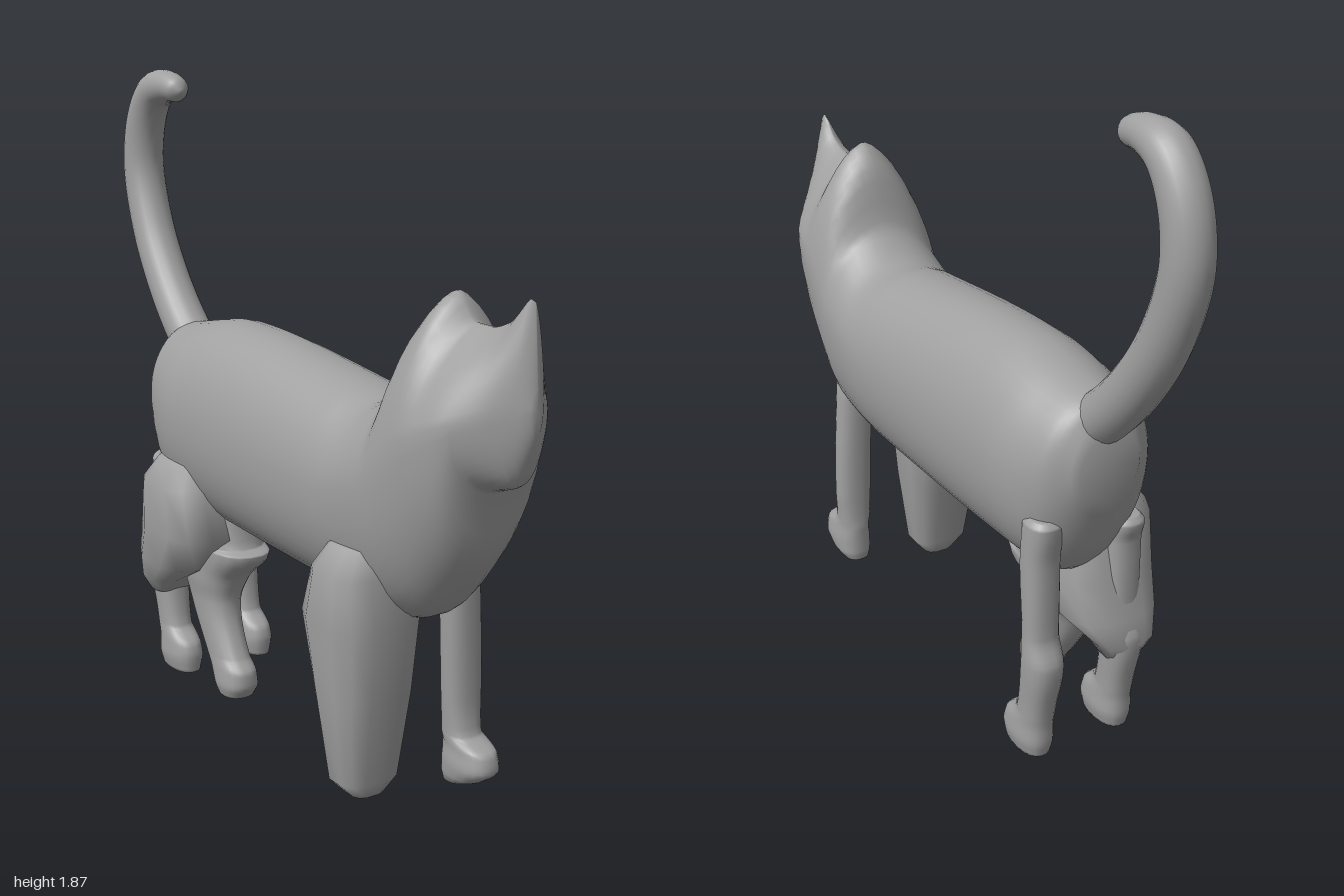
import * as THREE from 'three';

const CX = 0.018; // the body sits slightly off centre

// Skin closed rings; each ring runs counter-clockwise about the direction of travel
function skin(rings) {
  const n = rings[0].length, pos = [], idx = [];
  rings.forEach(r => r.forEach(p => pos.push(p.x, p.y, p.z)));
  for (let i = 0; i < rings.length - 1; i++) {
    for (let j = 0; j < n; j++) {
      const a = i * n + j, b = i * n + (j + 1) % n, c = a + n, d = b + n;
      idx.push(a, b, c, b, d, c);
    }
  }
  // end caps
  for (const i of [0, rings.length - 1]) {
    const mid = rings[i].reduce((s, p) => s.add(p), new THREE.Vector3()).divideScalar(n);
    const m = pos.length / 3;
    pos.push(mid.x, mid.y, mid.z);
    for (let j = 0; j < n; j++) {
      const a = i * n + j, b = i * n + (j + 1) % n;
      if (i === 0) idx.push(m, b, a); else idx.push(m, a, b);
    }
  }
  const g = new THREE.BufferGeometry();
  g.setAttribute('position', new THREE.Float32BufferAttribute(pos, 3));
  g.setIndex(idx);
  g.computeVertexNormals();
  return g;
}

// Smooth value of column k at key t, without overshoot; column 0 holds the keys
function sample(rows, t, k = 1) {
  let i = 0;
  while (i < rows.length - 2 && t > rows[i + 1][0]) i++;
  const slope = j => (rows[j + 1][k] - rows[j][k]) / (rows[j + 1][0] - rows[j][0]);
  const tangent = j => {
    if (j === 0) return slope(0);
    if (j === rows.length - 1) return slope(j - 1);
    const a = slope(j - 1), b = slope(j);
    return a * b <= 0 ? 0 : 2 * a * b / (a + b);
  };
  const h = rows[i + 1][0] - rows[i][0], s = (t - rows[i][0]) / h, s2 = s * s, s3 = s2 * s;
  return (2 * s3 - 3 * s2 + 1) * rows[i][k] + (s3 - 2 * s2 + s) * h * tangent(i)
    + (3 * s2 - 2 * s3) * rows[i + 1][k] + (s3 - s2) * h * tangent(i + 1);
}

const pow = (v, p) => Math.sign(v) * Math.pow(Math.abs(v), p);

// Ring of points from a function of the angle
const ring = (sides, at) => Array.from({ length: sides }, (_, j) => at((j + 0.5) / sides * Math.PI * 2));

// Torso and head, lofted along z from four profiles
function body() {
  const top = [[-0.675, 1.01], [-0.63, 1.09], [-0.53, 1.115], [-0.3, 1.15], [0.33, 1.092], [0.43, 1.075],
    [0.57, 1.15], [0.63, 1.325], [0.7, 1.39], [0.77, 1.32], [0.83, 1.32], [0.9, 1.342], [0.98, 1.412], [1, 1.2]];
  const bottom = [[-0.675, 0.82], [-0.6, 0.62], [-0.53, 0.54], [0.1, 0.51], [0.57, 0.5], [0.66, 0.53],
    [0.77, 0.645], [0.845, 0.78], [0.865, 0.91], [0.95, 0.95], [1, 1.08]];
  const widest = [[-0.675, 0.92], [-0.5, 0.85], [0.33, 0.82], [0.57, 0.88], [0.74, 1.04], [1, 1.15]];
  const halfWidth = [[-0.675, 0.09], [-0.6, 0.17], [-0.42, 0.215], [0.33, 0.22], [0.7, 0.2],
    [0.82, 0.177], [0.9, 0.125], [1, 0.02]];
  const rings = [];
  for (let i = 0; i <= 100; i++) {
    const z = -0.675 + 1.675 * i / 100;
    const mid = sample(widest, z), w = sample(halfWidth, z);
    const up = sample(top, z) - mid, down = mid - sample(bottom, z);
    // the upper half narrows to a ridge towards the head
    const ridge = 0.97 + 0.5 * THREE.MathUtils.smoothstep(z, 0.48, 0.85);
    rings.push(ring(40, a => {
      const s = Math.sin(a), p = s > 0 ? ridge : 0.95;
      return new THREE.Vector3(CX + w * pow(Math.cos(a), p), mid + (s > 0 ? up : down) * pow(s, p), z);
    }));
  }
  return skin(rings);
}

// Upright leg from rows of [y, x0, x1, z0, z1]; low power makes it boxy
function leg(rows, { sides = 20, steps = 5, power = 0.85 } = {}) {
  const rings = [];
  for (let i = 0; i <= (rows.length - 1) * steps; i++) {
    const k = Math.min(Math.floor(i / steps), rows.length - 2);
    const y = THREE.MathUtils.lerp(rows[k][0], rows[k + 1][0], i / steps - k);
    const [x0, x1, z0, z1] = [1, 2, 3, 4].map(c => sample(rows, y, c));
    rings.push(ring(sides, a => new THREE.Vector3(
      (x0 + x1) / 2 + (x1 - x0) / 2 * pow(Math.sin(a), power), y,
      (z0 + z1) / 2 + (z1 - z0) / 2 * pow(Math.cos(a), power))));
  }
  return skin(rings);
}

// Slim hind leg with a hock and a forward paw; rows are [y, half width, back, front]
function hindLeg(x, top) {
  const rows = [[0, 0.045, -0.6, -0.435], [0.05, 0.055, -0.61, -0.43], [0.09, 0.052, -0.61, -0.44],
    [0.14, 0.048, -0.615, -0.5], [0.31, 0.055, -0.645, -0.525], [0.4, 0.05, -0.615, -0.53],
    [0.62, 0.052, -0.615, -0.515], [top - 0.02, 0.05, -0.63, -0.52], [top, 0.035, -0.615, -0.535]];
  return leg(rows.map(([y, w, back, front]) => [y, x - w, x + w, back, front]));
}

// Round tapered tail swept along [y, z] points
function tail() {
  const path = [[0.98, -0.55], [1.07, -0.66], [1.2, -0.775], [1.37, -0.878], [1.56, -0.934],
    [1.71, -0.91], [1.8, -0.845], [1.82, -0.76], [1.805, -0.675]];
  const radius = [[0, 0.074], [0.5, 0.065], [0.75, 0.06], [0.9, 0.046], [0.97, 0.036], [1, 0.01]];
  const curve = new THREE.CatmullRomCurve3(path.map(([y, z]) => new THREE.Vector3(0.016, y, z)));
  const u = new THREE.Vector3(1, 0, 0), rings = [];
  for (let i = 0; i <= 60; i++) {
    const t = i / 60, r = sample(radius, t), c = curve.getPoint(t);
    const v = curve.getTangent(t).cross(u);
    rings.push(ring(20, a => c.clone().addScaledVector(u, r * Math.cos(a)).addScaledVector(v, r * Math.sin(a))));
  }
  return skin(rings);
}

export function createModel() {
  const group = new THREE.Group();
  const grey = new THREE.MeshStandardMaterial({ color: 0xa0a0a0 });
  grey.name = 'plain grey';
  const add = (name, geometry) => {
    const mesh = new THREE.Mesh(geometry, grey);
    mesh.name = name;
    group.add(mesh);
  };
  const boxy = { sides: 12, steps: 1, power: 0.7 };

  add('bodyAndHead', body());
  add('tail', tail());

  // Slim front leg with a forward paw
  add('leftFrontLeg', leg([
    [0, 0.11, 0.185, 0.55, 0.625], [0.03, 0.095, 0.205, 0.545, 0.69], [0.07, 0.09, 0.21, 0.545, 0.73],
    [0.115, 0.095, 0.205, 0.545, 0.72], [0.15, 0.095, 0.2, 0.548, 0.65], [0.25, 0.09, 0.205, 0.55, 0.638],
    [0.68, 0.07, 0.18, 0.55, 0.645],
  ]));

  // Broad slab front leg
  add('rightFrontLeg', leg([
    [0, -0.16, -0.06, 0.46, 0.55], [0.05, -0.21, -0.02, 0.44, 0.575], [0.3, -0.237, 0.01, 0.385, 0.61],
    [0.5, -0.248, 0.03, 0.33, 0.625], [0.64, -0.248, 0.02, 0.385, 0.61], [0.71, -0.2, 0, 0.42, 0.58],
  ], boxy));

  add('leftHindLeg', hindLeg(0.155, 0.765));
  add('rightHindLeg', hindLeg(-0.105, 0.7));

  // Extra hind leg stepping forward
  add('forwardHindLeg', leg([
    [0, -0.12, -0.02, -0.29, -0.18], [0.04, -0.13, -0.01, -0.31, -0.16], [0.08, -0.128, -0.012, -0.335, -0.163],
    [0.12, -0.125, -0.015, -0.365, -0.2], [0.28, -0.13, 0, -0.465, -0.265], [0.36, -0.14, 0.03, -0.5, -0.24],
    [0.455, -0.14, 0.06, -0.52, -0.155], [0.47, -0.14, 0.06, -0.52, -0.2], [0.58, -0.14, 0.06, -0.52, -0.22],
  ]));

  // Angular thigh block
  add('rightThigh', leg([
    [0.25, -0.17, -0.05, -0.62, -0.53], [0.3, -0.2, -0.02, -0.645, -0.48], [0.38, -0.235, 0.05, -0.63, -0.33],
    [0.5, -0.25, 0.07, -0.6, -0.22], [0.65, -0.25, 0.05, -0.57, -0.26], [0.72, -0.2, 0.02, -0.53, -0.3],
  ], boxy));

  return group;
}
